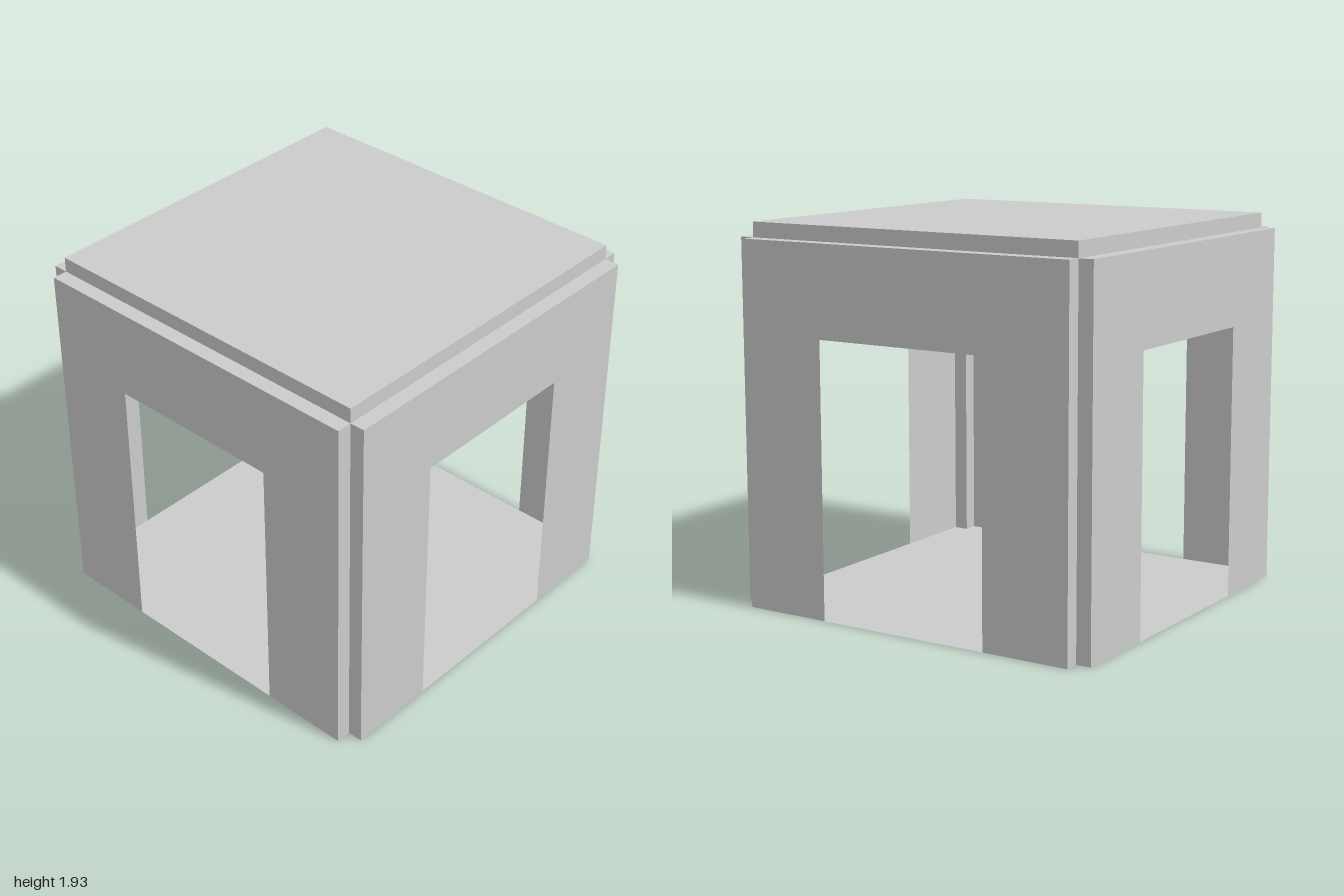
import * as THREE from 'three';

const OUT = 1;        // outer face of the walls
const IN = 0.923;     // half width of each panel
const STEP = OUT - IN;
const WALL_TOP = 1.85;
const ROOF_TOP = 1.927;
const DOOR_HALF = 0.463;
const DOOR_TOP = 1.39;

const material = new THREE.MeshStandardMaterial({
  color: 0xcccccc, flatShading: true, side: THREE.DoubleSide,
});

function addMesh(parent, name, geometry, x = 0, y = 0, z = 0) {
  const mesh = new THREE.Mesh(geometry, material);
  mesh.name = name;
  mesh.position.set(x, y, z);
  parent.add(mesh);
  return mesh;
}

function polygon(points) {
  return new THREE.ShapeGeometry(new THREE.Shape(points.map(([x, y]) => new THREE.Vector2(x, y))));
}

// One thin-skinned side, facing +z: panel with doorway, edge returns, top ledge
function createWall() {
  const wall = new THREE.Group();
  addMesh(wall, 'doorwayPanel', polygon([
    [-IN, 0], [-DOOR_HALF, 0], [-DOOR_HALF, DOOR_TOP], [DOOR_HALF, DOOR_TOP],
    [DOOR_HALF, 0], [IN, 0], [IN, WALL_TOP], [-IN, WALL_TOP],
  ]), 0, 0, OUT);

  for (const side of [-1, 1]) {
    const edge = new THREE.PlaneGeometry(STEP, WALL_TOP).rotateY(side * Math.PI / 2);
    addMesh(wall, 'cornerReturn', edge, side * IN, WALL_TOP / 2, IN + STEP / 2);
  }

  const ledge = new THREE.PlaneGeometry(2 * IN, STEP).rotateX(-Math.PI / 2);
  addMesh(wall, 'topLedge', ledge, 0, WALL_TOP, IN + STEP / 2);

  const rise = ROOF_TOP - WALL_TOP;
  addMesh(wall, 'roofEdge', new THREE.PlaneGeometry(2 * IN, rise), 0, WALL_TOP + rise / 2, IN);
  return wall;
}

export function createModel() {
  const model = new THREE.Group();
  model.name = 'openPavilion';

  // Four identical sides
  ['frontWall', 'leftWall', 'backWall', 'rightWall'].forEach((name, i) => {
    const wall = createWall();
    wall.name = name;
    wall.rotation.y = i * Math.PI / 2;
    model.add(wall);
  });

  // Raised square roof
  addMesh(model, 'roof', new THREE.PlaneGeometry(2 * IN, 2 * IN).rotateX(-Math.PI / 2), 0, ROOF_TOP, 0);

  // Floor with notched corners, reaching the outer wall faces
  const floor = polygon([
    [-IN, -OUT], [IN, -OUT], [IN, -IN], [OUT, -IN], [OUT, IN], [IN, IN],
    [IN, OUT], [-IN, OUT], [-IN, IN], [-OUT, IN], [-OUT, -IN], [-IN, -IN],
  ]).rotateX(-Math.PI / 2);
  addMesh(model, 'floor', floor);

  return model;
}
